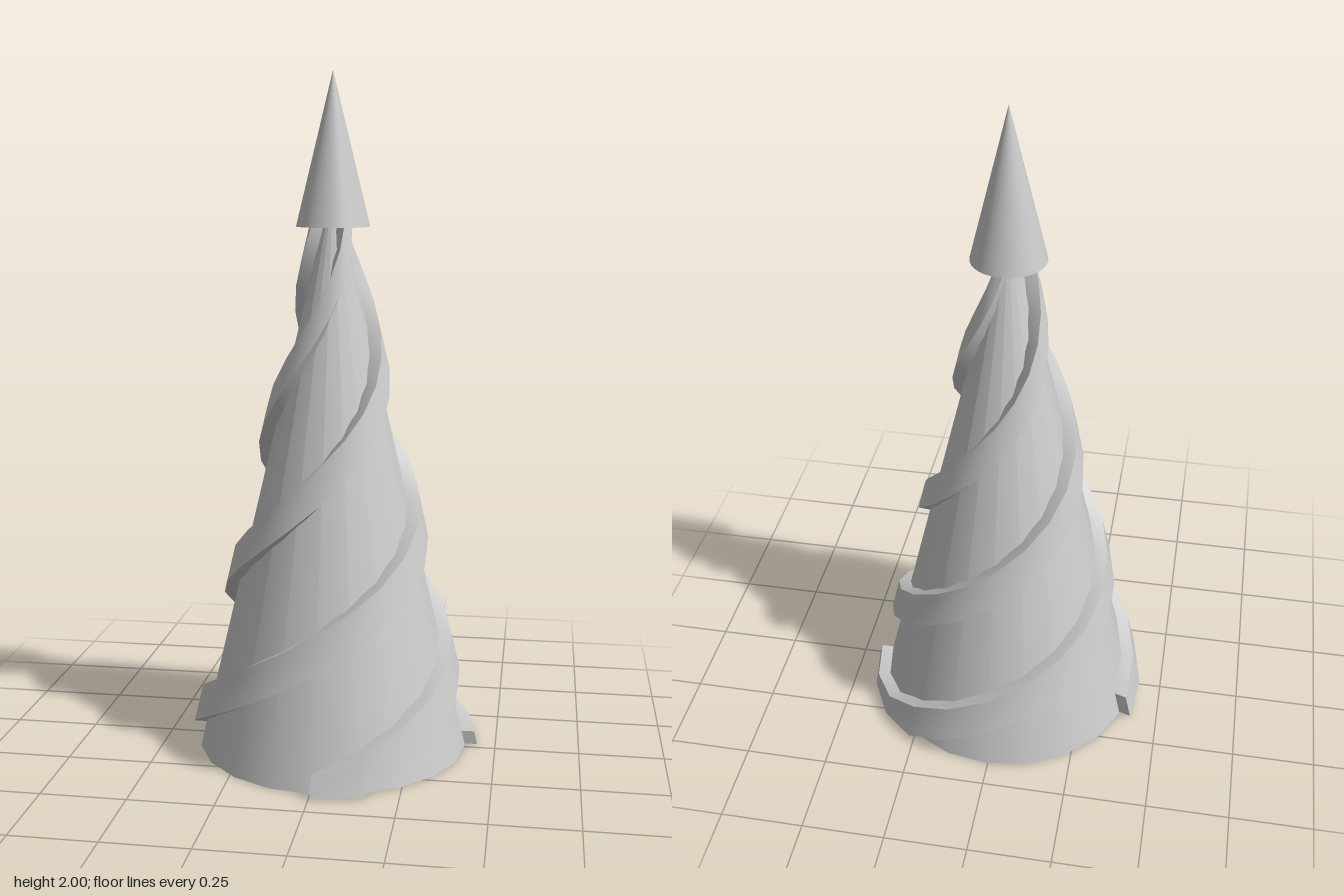
import * as THREE from 'three';
import { toCreasedNormals } from 'three/addons/utils/BufferGeometryUtils.js';

const DEG = Math.PI / 180;
const BASE_R = 0.405, APEX_Y = 1.69;
const coreRadius = (y) => BASE_R * Math.max(0, 1 - y / APEX_Y);

// Height climbed after a number of quarter turns: slightly steeper towards the top
const climb = (quarters) => 0.28 * quarters + 0.014 * quarters * Math.abs(quarters);

// Box-section band climbing round the core; zeroAngle is where its middle would meet the ground
function ribbonGeometry(startAngle, zeroAngle) {
  const half = 0.055, depth = 0.038, step = 18;
  const endAngle = zeroAngle + 4.65 * 90;
  const steps = Math.round((endAngle - startAngle) / step);
  const sections = [];
  for (let i = 0; i <= steps; i++) {
    const deg = startAngle + ((endAngle - startAngle) * i) / steps;
    const mid = climb((deg - zeroAngle) / 90);
    const low = Math.max(0.005, mid - half), high = Math.max(0.045, mid + half);
    const at = (r, y) => [r * Math.sin(deg * DEG), y, r * Math.cos(deg * DEG)];
    const inner = (y) => Math.max(0.005, coreRadius(y) - 0.025);
    sections.push([
      at(inner(low), low),
      at(coreRadius(low) + depth, low),
      at(coreRadius(high) + depth, high),
      at(inner(high), high),
    ]);
  }
  const pos = [];
  const quad = (a, b, c, d) => pos.push(...a, ...b, ...c, ...a, ...c, ...d);
  for (let i = 0; i < steps; i++) {
    const s = sections[i], n = sections[i + 1];
    for (let k = 0; k < 4; k++) {
      const j = (k + 1) % 4;
      quad(s[k], n[k], n[j], s[j]);
    }
  }
  const first = sections[0], last = sections[steps];
  quad(first[0], first[1], first[2], first[3]);
  quad(last[3], last[2], last[1], last[0]);
  const geo = new THREE.BufferGeometry();
  geo.setAttribute('position', new THREE.Float32BufferAttribute(pos, 3));
  return toCreasedNormals(geo, 40 * DEG);
}

export function createModel() {
  const model = new THREE.Group();
  model.name = 'spiralTree';
  const grey = new THREE.MeshStandardMaterial({ color: 0xcccccc });

  const add = (name, geometry, y = 0) => {
    const mesh = new THREE.Mesh(geometry, grey);
    mesh.name = name;
    // Slight offset keeps the overall outline centred
    mesh.position.set(0.004, y, -0.014);
    model.add(mesh);
  };

  // Tapered core, twenty-sided with smooth shading
  add('core', new THREE.ConeGeometry(BASE_R, APEX_Y, 20), APEX_Y / 2);

  // Pointed cap
  add('tip', new THREE.ConeGeometry(0.107, 0.44, 48), 1.78);

  // Three bands, about a third of a turn apart, with differing lower ends
  [[0, 0], [90, 120], [252, 244]].forEach(([start, zero], i) =>
    add(`spiralBand${i + 1}`, ribbonGeometry(start, zero)));

  return model;
}
